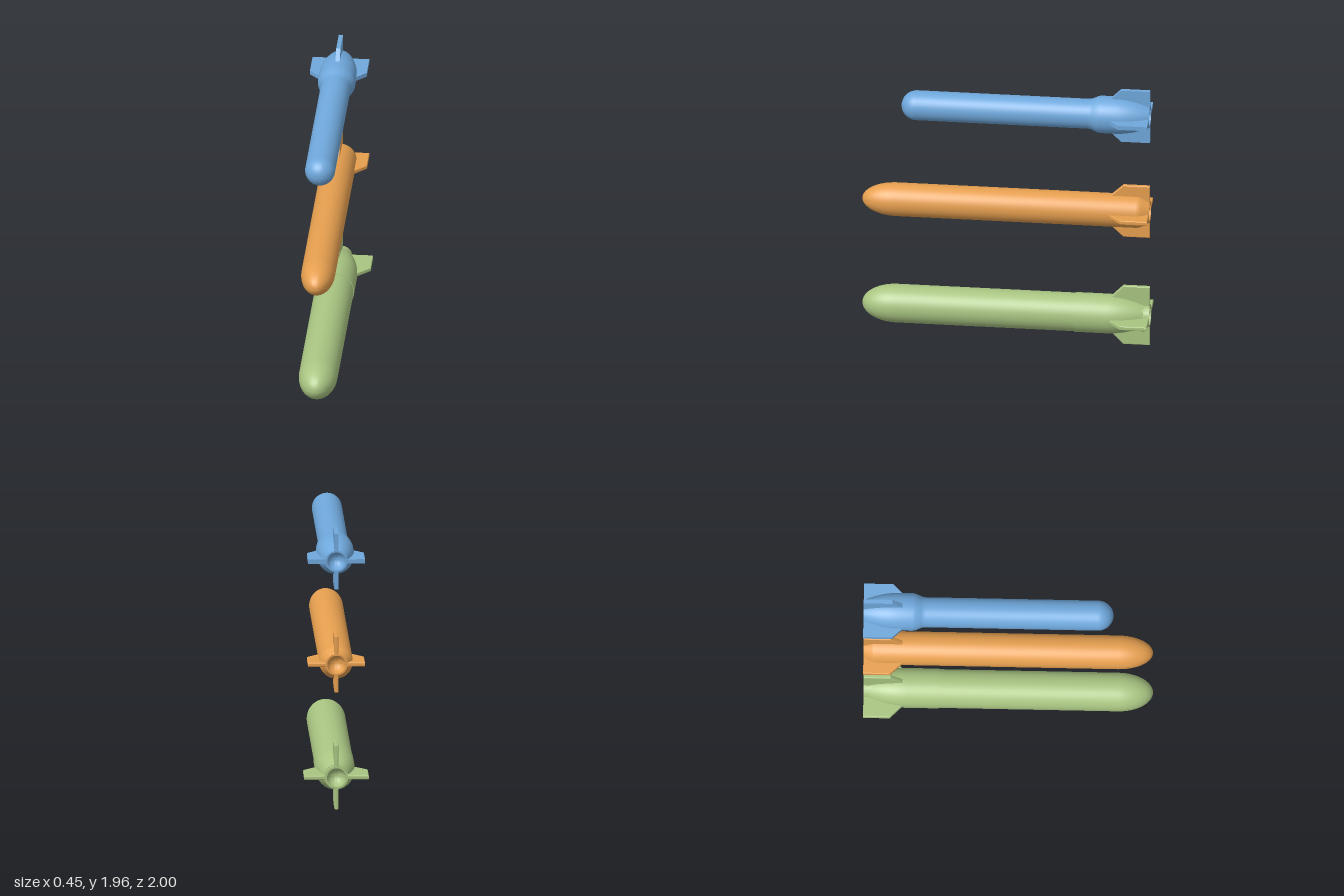
import * as THREE from 'three';
import { toCreasedNormals } from 'three/addons/utils/BufferGeometryUtils.js';

// Points of a quarter ellipse from the body edge (r, z0) to the tip (0, z1)
function nosePoints(r, z0, z1, n = 14) {
  return Array.from({ length: n + 1 }, (_, i) => {
    const a = (i / n) * Math.PI / 2;
    return [i === n ? 0 : r * Math.cos(a), z0 + (z1 - z0) * Math.sin(a)];
  });
}

// Points of a tail that swells smoothly from (r0, z0) at the rear to (r1, z1)
function tailPoints(r0, z0, r1, z1, n = 12) {
  return Array.from({ length: n + 1 }, (_, i) => {
    const t = i / n;
    return [r1 - (r1 - r0) * (1 - t) ** 2, z0 + (z1 - z0) * t];
  });
}

// Concave exhaust recess at the rear end, from its centre out to the rim
function recessPoints(r, depth, n = 6) {
  return Array.from({ length: n + 1 }, (_, i) => {
    const a = (i / n) * Math.PI / 2;
    return [r * Math.sin(a), -1 + depth * Math.cos(a)];
  });
}

// Body turned around the z axis; profile runs from rear to nose
function makeBody(profile, material) {
  const points = profile.map(([r, z]) => new THREE.Vector2(r, z));
  const geometry = new THREE.LatheGeometry(points, 48).rotateX(Math.PI / 2);
  const body = new THREE.Mesh(toCreasedNormals(geometry, 0.5), material);
  body.name = 'body';
  return body;
}

// Four clipped fins around the tail
function makeFins({ span, bodyRadius, front, shoulder, bevel }, material) {
  const thickness = 0.03;
  const root = 0.068;
  const shape = new THREE.Shape([
    [root, -1], [span, -1], [span, shoulder], [bodyRadius, front], [root, front],
  ].map(([r, z]) => new THREE.Vector2(r, z)));
  const geometry = new THREE.ExtrudeGeometry(shape, {
    depth: thickness - 2 * bevel,
    bevelEnabled: bevel > 0,
    bevelSize: bevel,
    bevelThickness: bevel,
    bevelOffset: -bevel,
    bevelSegments: 3,
  });
  geometry.translate(0, 0, bevel - thickness / 2).rotateX(Math.PI / 2);
  const fins = new THREE.Group();
  fins.name = 'fins';
  for (let i = 0; i < 4; i++) {
    const fin = new THREE.Mesh(geometry, material);
    fin.name = 'fin';
    fin.rotation.z = i * Math.PI / 2;
    fins.add(fin);
  }
  return fins;
}

function makeMissile(name, color, y, profile, fins) {
  const material = new THREE.MeshStandardMaterial({ color });
  const missile = new THREE.Group();
  missile.name = name;
  missile.position.y = y;
  missile.add(makeBody(profile, material), makeFins(fins, material));
  return missile;
}

export function createModel() {
  const model = new THREE.Group();
  model.name = 'missileSet';

  // Slim upper missile with a swollen tail section
  model.add(makeMissile('upperMissile', 0x6fa8dc, 1.765, [
    ...recessPoints(0.064, 0.08),
    ...tailPoints(0.076, -1, 0.13, -0.76),
    [0.13, -0.66], [0.127, -0.64], [0.111, -0.605], [0.106, -0.59], [0.104, -0.57],
    ...nosePoints(0.104, 0.62, 0.727),
  ], { span: 0.197, bodyRadius: 0.128, front: -0.73, shoulder: -0.8, bevel: 0 }));

  // Straight middle missile with a short tapered tail
  model.add(makeMissile('middleMissile', 0xe69f4f, 1.032, [
    ...recessPoints(0.064, 0.08),
    [0.076, -1], [0.107, -0.945], [0.114, -0.93], [0.117, -0.91],
    ...nosePoints(0.117, 0.76, 1),
  ], { span: 0.198, bodyRadius: 0.117, front: -0.73, shoulder: -0.815, bevel: 0.007 }));

  // Thick lower missile with a tail sleeve and a nozzle ring
  model.add(makeMissile('lowerMissile', 0xa9c582, 0.23, [
    ...recessPoints(0.066, 0.08),
    [0.08, -1], [0.08, -0.957],
    ...tailPoints(0.084, -0.957, 0.138, -0.7),
    [0.138, -0.48], [0.134, -0.48],
    ...nosePoints(0.134, 0.76, 1),
  ], { span: 0.224, bodyRadius: 0.137, front: -0.73, shoulder: -0.815, bevel: 0.007 }));

  return model;
}
